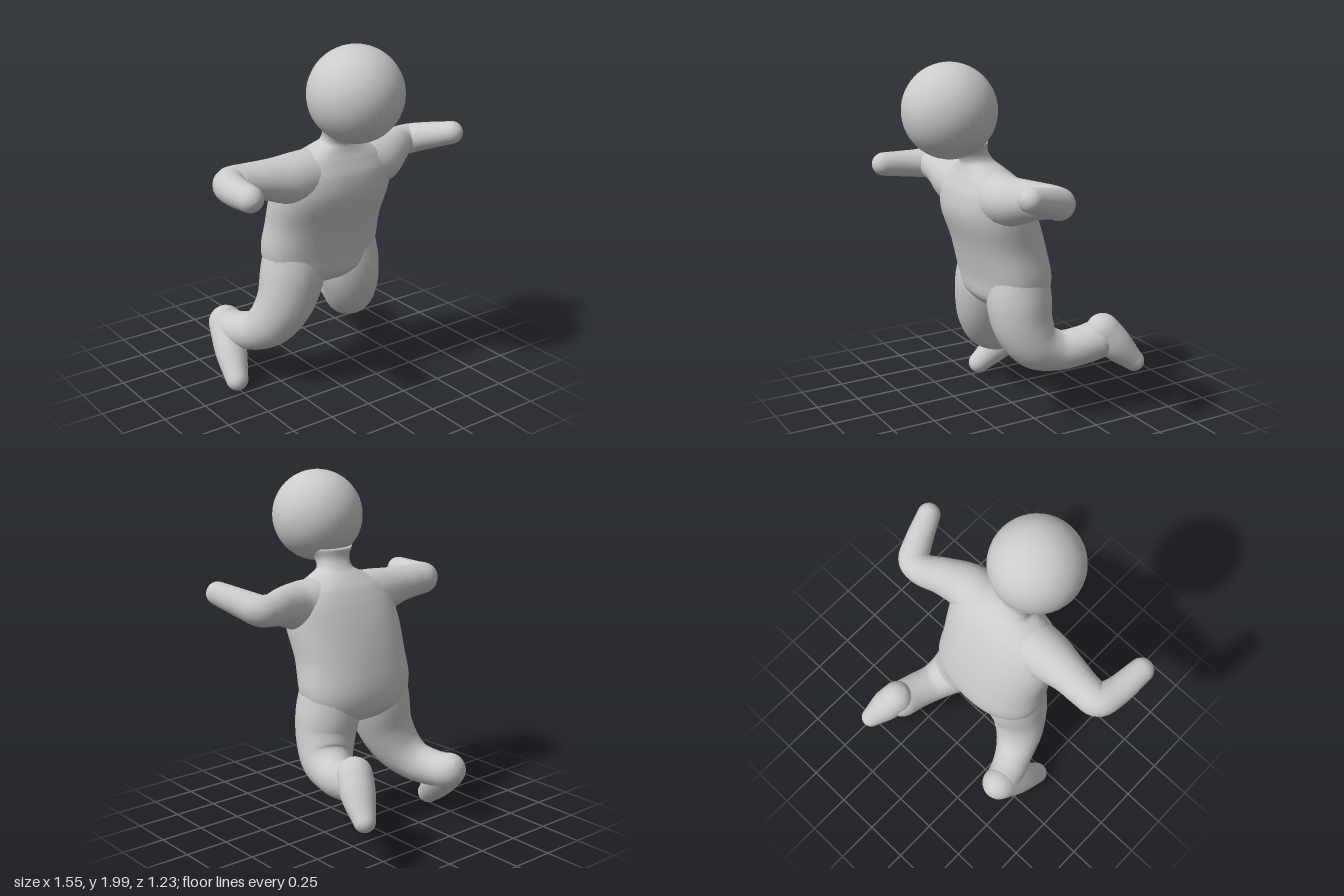
import * as THREE from 'three';

const material = new THREE.MeshStandardMaterial({ color: 0xcccccc });

// Skin a list of rings (each an array of Vector3) into a closed smooth surface
function skin(name, rings) {
  const n = rings[0].length, pos = [], idx = [];
  rings.forEach(r => r.forEach(p => pos.push(p.x, p.y, p.z)));
  for (let i = 0; i < rings.length - 1; i++)
    for (let j = 0; j < n; j++) {
      const k = (j + 1) % n, a = i * n + j, b = i * n + k, c = a + n, d = b + n;
      idx.push(a, b, c, b, d, c);
    }
  // End caps
  [0, rings.length - 1].forEach((i, end) => {
    const mid = rings[i].reduce((s, p) => s.add(p), new THREE.Vector3()).divideScalar(n);
    const m = pos.length / 3;
    pos.push(mid.x, mid.y, mid.z);
    for (let j = 0; j < n; j++) {
      const a = i * n + j, b = i * n + (j + 1) % n;
      if (end) idx.push(a, b, m); else idx.push(b, a, m);
    }
  });
  const g = new THREE.BufferGeometry();
  g.setAttribute('position', new THREE.Float32BufferAttribute(pos, 3));
  g.setIndex(idx);
  g.computeVertexNormals();
  const mesh = new THREE.Mesh(g, material);
  mesh.name = name;
  return mesh;
}

// Round-ended limb through points [x, y, z, radius]
function limb(name, pts, steps = 32, sides = 24) {
  const curve = new THREE.CatmullRomCurve3(pts.map(p => new THREE.Vector3(p[0], p[1], p[2])));
  const radii = new THREE.CatmullRomCurve3(pts.map((p, i) => new THREE.Vector3(i, p[3], 0)));
  const rings = [];
  const u = new THREE.Vector3(), v = new THREE.Vector3();
  let prev = null;
  const ring = (c, r) => {
    const out = [];
    for (let j = 0; j < sides; j++) {
      const a = j / sides * Math.PI * 2;
      out.push(c.clone().addScaledVector(u, Math.cos(a) * r).addScaledVector(v, Math.sin(a) * r));
    }
    rings.push(out);
  };
  for (let i = 0; i <= steps; i++) {
    const c = curve.getPoint(i / steps), t = curve.getTangent(i / steps);
    const r = radii.getPoint(i / steps).y;
    // Carry the previous frame along so the surface does not twist
    if (!prev) prev = Math.abs(t.x) < 0.7 ? new THREE.Vector3(1, 0, 0) : new THREE.Vector3(0, 1, 0);
    u.copy(prev).addScaledVector(t, -prev.dot(t)).normalize();
    v.crossVectors(t, u);
    prev = u.clone();
    const cap = s => ring(c.clone().addScaledVector(t, r * Math.sin(s)), r * Math.cos(s));
    if (i === 0) for (let k = -5; k < 0; k++) cap(k * 0.3);
    ring(c, r);
    if (i === steps) for (let k = 1; k <= 5; k++) cap(k * 0.3);
  }
  return skin(name, rings);
}

// Torso and neck from level oval sections [y, x, z, half width, half depth]
function torso() {
  const S = [
    [0.62, -0.01, 0.05, 0.05, 0.05], [0.66, -0.01, 0.05, 0.21, 0.14], [0.72, -0.01, 0.045, 0.31, 0.195],
    [0.82, -0.015, 0.045, 0.35, 0.21], [1.0, -0.015, 0.085, 0.345, 0.215], [1.18, -0.01, 0.145, 0.355, 0.215],
    [1.3, 0, 0.17, 0.34, 0.185], [1.38, 0, 0.18, 0.28, 0.145], [1.43, -0.005, 0.195, 0.18, 0.11],
    [1.47, -0.01, 0.215, 0.105, 0.085], [1.52, -0.015, 0.245, 0.1, 0.085], [1.58, -0.02, 0.29, 0.14, 0.125]
  ];
  const centre = new THREE.CatmullRomCurve3(S.map(s => new THREE.Vector3(s[1], s[0], s[2])));
  const size = new THREE.CatmullRomCurve3(S.map(s => new THREE.Vector3(s[3], s[0], s[4])));
  const rings = [], n = 40, steps = 55;
  const round = a => Math.sign(a) * Math.abs(a) ** 0.88;
  for (let i = 0; i <= steps; i++) {
    const c = centre.getPoint(i / steps), s = size.getPoint(i / steps);
    rings.push(Array.from({ length: n }, (_, j) => {
      const a = -j / n * Math.PI * 2;
      return new THREE.Vector3(c.x + s.x * round(Math.cos(a)), c.y, c.z + s.z * round(Math.sin(a)));
    }));
  }
  return skin('torso', rings);
}

export function createModel() {
  const model = new THREE.Group();
  model.name = 'figure';

  // Head
  const head = new THREE.Mesh(new THREE.SphereGeometry(0.255, 40, 28), material);
  head.name = 'head';
  head.position.set(-0.015, 1.745, 0.37);
  model.add(head, torso());

  // Arms
  model.add(limb('leftArm', [
    [0.12, 1.29, 0.18, 0.145], [0.28, 1.295, 0.18, 0.135], [0.42, 1.32, 0.125, 0.105],
    [0.53, 1.33, 0.07, 0.088], [0.6, 1.335, 0.075, 0.085], [0.645, 1.36, 0.15, 0.078], [0.71, 1.405, 0.305, 0.064]
  ]));
  model.add(limb('rightArm', [
    [-0.14, 1.29, 0.18, 0.145], [-0.3, 1.295, 0.185, 0.135], [-0.45, 1.315, 0.18, 0.107],
    [-0.57, 1.325, 0.17, 0.095], [-0.655, 1.33, 0.175, 0.09], [-0.69, 1.33, 0.27, 0.08], [-0.71, 1.34, 0.45, 0.068]
  ]));

  // Legs
  model.add(limb('leftLeg', [
    [0.155, 0.87, 0.05, 0.165], [0.175, 0.7, 0.055, 0.18], [0.2, 0.57, 0.045, 0.168],
    [0.24, 0.45, -0.02, 0.145], [0.28, 0.405, -0.14, 0.113], [0.315, 0.42, -0.26, 0.108], [0.335, 0.445, -0.36, 0.11]
  ]));
  model.add(limb('rightLeg', [
    [-0.185, 0.87, 0.05, 0.165], [-0.2, 0.7, 0.055, 0.18], [-0.245, 0.53, 0.045, 0.162],
    [-0.3, 0.4, -0.01, 0.14], [-0.35, 0.325, -0.1, 0.115], [-0.395, 0.3, -0.2, 0.105], [-0.42, 0.3, -0.29, 0.1]
  ]));

  // Feet
  model.add(limb('leftFoot', [
    [0.35, 0.5, -0.385, 0.095], [0.385, 0.41, -0.455, 0.092], [0.425, 0.31, -0.55, 0.06]
  ], 16));
  model.add(limb('rightFoot', [
    [-0.42, 0.31, -0.31, 0.1], [-0.465, 0.19, -0.185, 0.092], [-0.505, 0.075, -0.06, 0.064]
  ], 16));

  return model;
}
